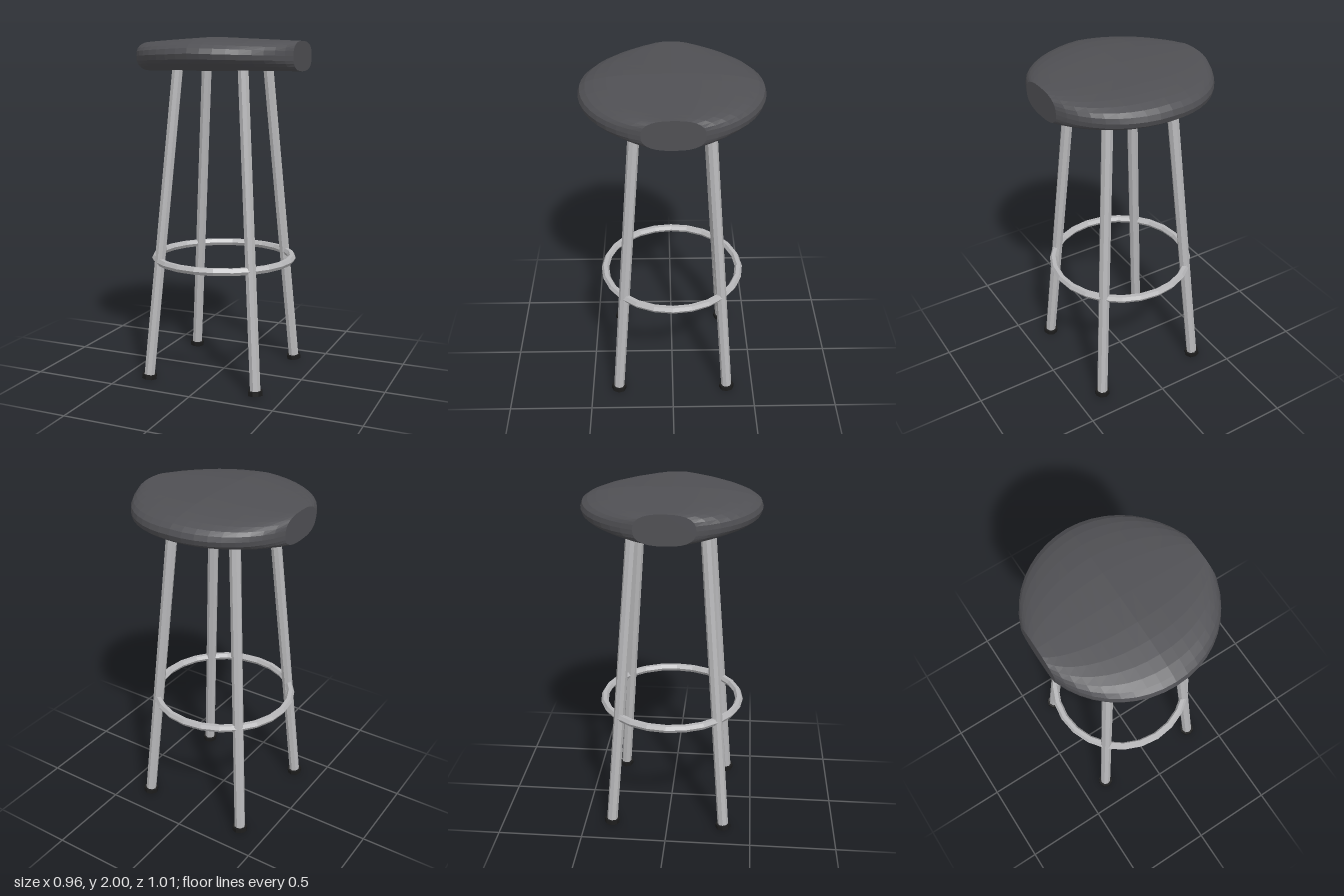
import * as THREE from 'three';

const mat = (name, color) => {
  const m = new THREE.MeshStandardMaterial({ color, flatShading: true });
  m.name = name;
  return m;
};

// Cushion: rounded cross-sections lofted along x, with flat ends
function seatGeometry() {
  const R = 0.505, X = 0.478, rings = 18, n = 28;
  const pos = [], index = [];
  const amax = Math.asin(X / R);
  const pw = (v, e) => Math.sign(v) * Math.abs(v) ** e;
  for (let i = 0; i <= rings; i++) {
    const a = amax * (2 * i / rings - 1);
    const x = R * Math.sin(a), w = R * Math.cos(a);
    const top = 2 - 0.025 * Math.abs(x) / X, bottom = 1.808;
    const h = (top - bottom) / 2, mid = (top + bottom) / 2;
    for (let j = 0; j < n; j++) {
      const t = j / n * Math.PI * 2;
      pos.push(x, mid + h * pw(Math.cos(t), 0.78), w * pw(Math.sin(t), 0.78));
    }
  }
  for (let i = 0; i < rings; i++) {
    for (let j = 0; j < n; j++) {
      const a = i * n + j, b = i * n + (j + 1) % n;
      index.push(a, b, a + n, b, b + n, a + n);
    }
  }
  // end faces
  const last = rings * n;
  for (let j = 1; j < n - 1; j++) {
    index.push(0, j + 1, j, last, last + j, last + j + 1);
  }
  const g = new THREE.BufferGeometry();
  g.setAttribute('position', new THREE.Float32BufferAttribute(pos, 3));
  g.setIndex(index);
  const flat = g.toNonIndexed();
  flat.computeVertexNormals();
  return flat;
}

// Cylinder running between two points
function rod(name, from, to, radius, sides, material) {
  const dir = to.clone().sub(from);
  const mesh = new THREE.Mesh(new THREE.CylinderGeometry(radius, radius, dir.length(), sides), material);
  mesh.name = name;
  mesh.position.copy(from).add(to).multiplyScalar(0.5);
  mesh.quaternion.setFromUnitVectors(new THREE.Vector3(0, 1, 0), dir.normalize());
  return mesh;
}

export function createModel() {
  const model = new THREE.Group();
  model.name = 'barStool';
  const padding = mat('dark grey padding', 0x505054);
  const steel = mat('brushed steel', 0xb8b8ba);
  const rubber = mat('black rubber', 0x1c1c1c);

  const seat = new THREE.Mesh(seatGeometry(), padding);
  seat.name = 'seat';
  model.add(seat);

  // Four splayed legs with rubber feet
  for (const sx of [1, -1]) {
    for (const sz of [1, -1]) {
      const side = (sz > 0 ? 'front' : 'back') + (sx > 0 ? 'Left' : 'Right');
      const top = new THREE.Vector3(0.2 * sx, 1.825, 0.2 * sz);
      const base = new THREE.Vector3(0.338 * sx, 0.006, 0.338 * sz);
      const ankle = base.clone().lerp(top, 0.014);
      model.add(rod(side + 'Leg', ankle, top, 0.032, 8, steel));
      model.add(rod(side + 'Foot', base, ankle, 0.045, 8, rubber));
    }
  }

  // Foot ring
  const ring = new THREE.Mesh(new THREE.TorusGeometry(0.408, 0.023, 6, 24), steel);
  ring.name = 'footRing';
  ring.rotation.x = Math.PI / 2;
  ring.position.y = 0.709;
  model.add(ring);
  return model;
}
